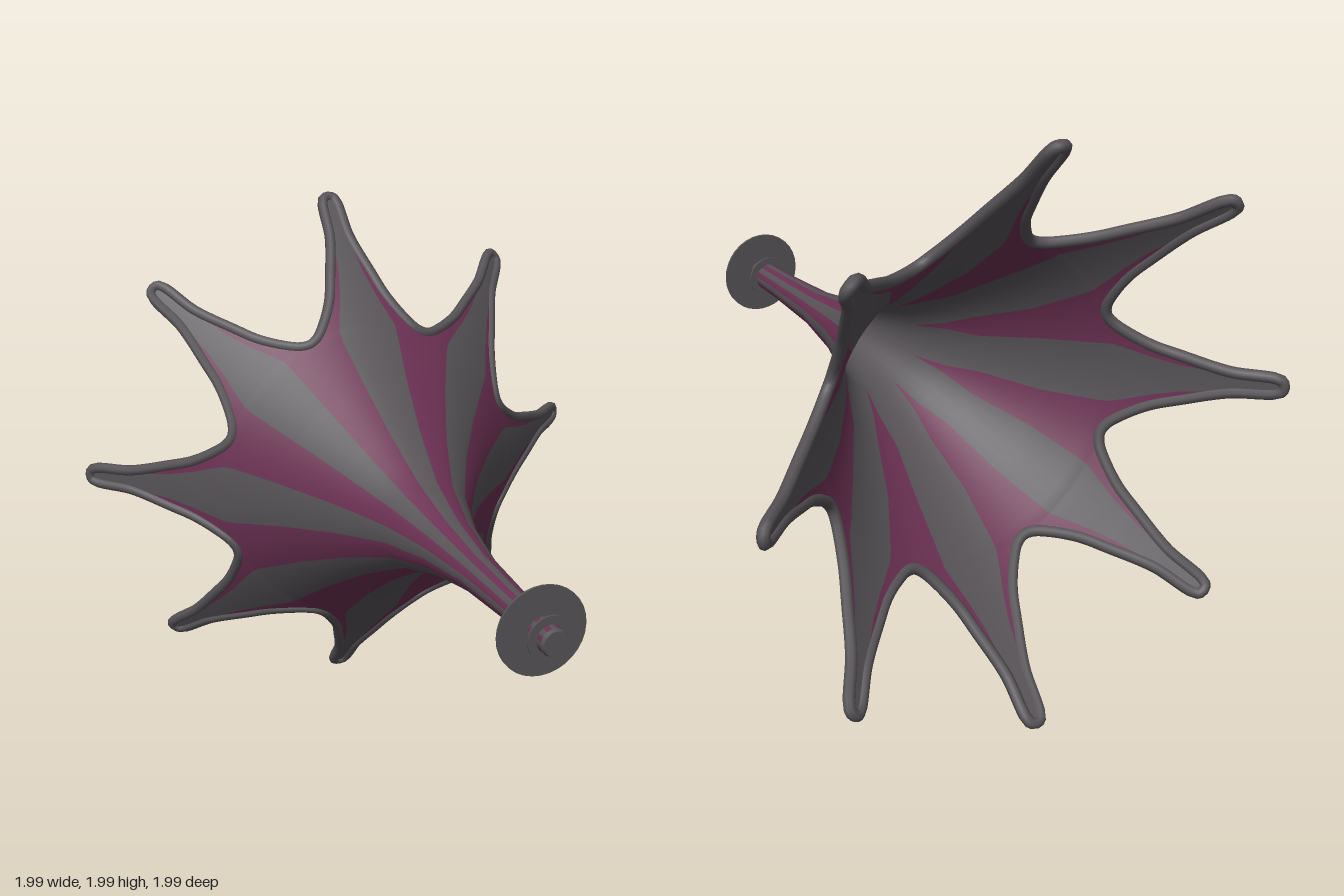
import * as THREE from 'three';

const gray = new THREE.MeshStandardMaterial({ color: 0x565256 });
gray.name = 'charcoal gray';
const plum = new THREE.MeshStandardMaterial({ color: 0x6a3052 });
plum.name = 'plum';

// Profile rows, front to back: z, radius, half angle of the petal,
// half angle of the gray stripe outside and inside (degrees)
const ROWS = [
  [0.975, 0.047, 22.5, 11.25, 22.5],
  [0.7, 0.053, 22.5, 11.25, 22.5],
  [0.43, 0.068, 22.5, 11.25, 22.5],
  [0.2, 0.105, 22.5, 11.25, 22.5],
  [0, 0.165, 22.5, 11.25, 22.5],
  [-0.11, 0.225, 22.5, 11.25, 19],
  [-0.22, 0.29, 22.5, 11.25, 14],
  [-0.4, 0.42, 22.5, 11.25, 13.5],
  [-0.555, 0.55, 22.5, 11.25, 11.25],
  [-0.58, 0.577, 22.5, 10.8, 10.8],
  [-0.588, 0.585, 19, 10.4, 10.4],
  [-0.615, 0.61, 15, 9, 9],
  [-0.675, 0.67, 9.5, 6, 6],
  [-0.745, 0.74, 6.2, 3.7, 3.7],
  [-0.855, 0.85, 2.6, 2, 2],
  [-0.975, 0.975, 1.1, 1.1, 1.1],
];
const VALLEY = 9;
const PETALS = 8;
const WALL = 0.015;
const rad = THREE.MathUtils.degToRad;

// Profile normal of a row as [radial, z]
function rowNormal(i) {
  const a = ROWS[Math.max(i - 1, 0)], b = ROWS[Math.min(i + 1, ROWS.length - 1)];
  const dz = b[0] - a[0], dr = b[1] - a[1], l = Math.hypot(dz, dr);
  return [-dz / l, dr / l];
}

// Point on the bell, moved inward from the outer surface by depth
function bellPoint(i, angle, depth) {
  const [nr, nz] = rowNormal(i);
  const r = ROWS[i][1] - nr * depth;
  return new THREE.Vector3(r * Math.sin(angle), 1 + r * Math.cos(angle), ROWS[i][0] - nz * depth);
}

// Strip of the bell between two angle rules, repeated round the axis
function bellStrips(name, material, spans, inside) {
  const pos = [], nor = [], idx = [], cols = 4, depth = inside ? WALL : 0, s = inside ? -1 : 1;
  for (let k = 0; k < PETALS; k++) {
    for (const [from, to] of spans) {
      const base = pos.length / 3;
      ROWS.forEach((row, i) => {
        const [nr, nz] = rowNormal(i);
        for (let j = 0; j <= cols; j++) {
          const a = rad(k * 45 + THREE.MathUtils.lerp(from(row), to(row), j / cols));
          pos.push(...bellPoint(i, a, depth).toArray());
          nor.push(s * nr * Math.sin(a), s * nr * Math.cos(a), s * nz);
          if (i < ROWS.length - 1 && j < cols) {
            const p = base + i * (cols + 1) + j, q = p + cols + 1;
            if (inside) idx.push(p, q, p + 1, p + 1, q, q + 1);
            else idx.push(p, p + 1, q, p + 1, q + 1, q);
          }
        }
      });
    }
  }
  const geo = new THREE.BufferGeometry();
  geo.setAttribute('position', new THREE.Float32BufferAttribute(pos, 3));
  geo.setAttribute('normal', new THREE.Float32BufferAttribute(nor, 3));
  geo.setIndex(idx);
  const mesh = new THREE.Mesh(geo, material);
  mesh.name = name;
  return mesh;
}

// Disc or plug whose axis runs along z
function disc(name, radius, length, z) {
  const mesh = new THREE.Mesh(new THREE.CylinderGeometry(radius, radius, length, 32), gray);
  mesh.rotation.x = Math.PI / 2;
  mesh.position.set(0, 1, z);
  mesh.name = name;
  return mesh;
}

export function createModel() {
  const group = new THREE.Group();
  group.name = 'flaredHorn';

  // Striped bell, outer and inner skins
  for (const [side, c] of [['outer', 3], ['inner', 4]]) {
    const inside = side === 'inner';
    group.add(bellStrips(side + 'GrayStripes', gray, [[(r) => -r[c], (r) => r[c]]], inside));
    group.add(bellStrips(side + 'PlumStripes', plum,
      [[(r) => -r[2], (r) => -r[c]], [(r) => r[c], (r) => r[2]]], inside));
  }

  // Rounded trim following the pointed rim
  const path = [];
  for (let k = 0; k < PETALS; k++) {
    for (let i = VALLEY; i < ROWS.length; i++) path.push(bellPoint(i, rad(k * 45 - ROWS[i][2]), WALL / 2));
    for (let i = ROWS.length - 1; i > VALLEY; i--) path.push(bellPoint(i, rad(k * 45 + ROWS[i][2]), WALL / 2));
  }
  const curve = new THREE.CatmullRomCurve3(path, true, 'centripetal');
  const trim = new THREE.Mesh(new THREE.TubeGeometry(curve, 640, 0.02, 8, true), gray);
  trim.name = 'rimTrim';
  group.add(trim);

  // Mouthpiece end with three thin flanges
  const cap = new THREE.Mesh(new THREE.CylinderGeometry(0.042, 0.047, 0.014, 32), gray);
  cap.rotation.x = Math.PI / 2;
  cap.position.set(0, 1, 0.982);
  cap.name = 'endCap';
  group.add(cap);
  group.add(disc('frontFlange', 0.076, 0.008, 0.945));
  group.add(disc('wideFlange', 0.152, 0.008, 0.887));
  group.add(disc('rearFlange', 0.076, 0.008, 0.83));
  return group;
}
